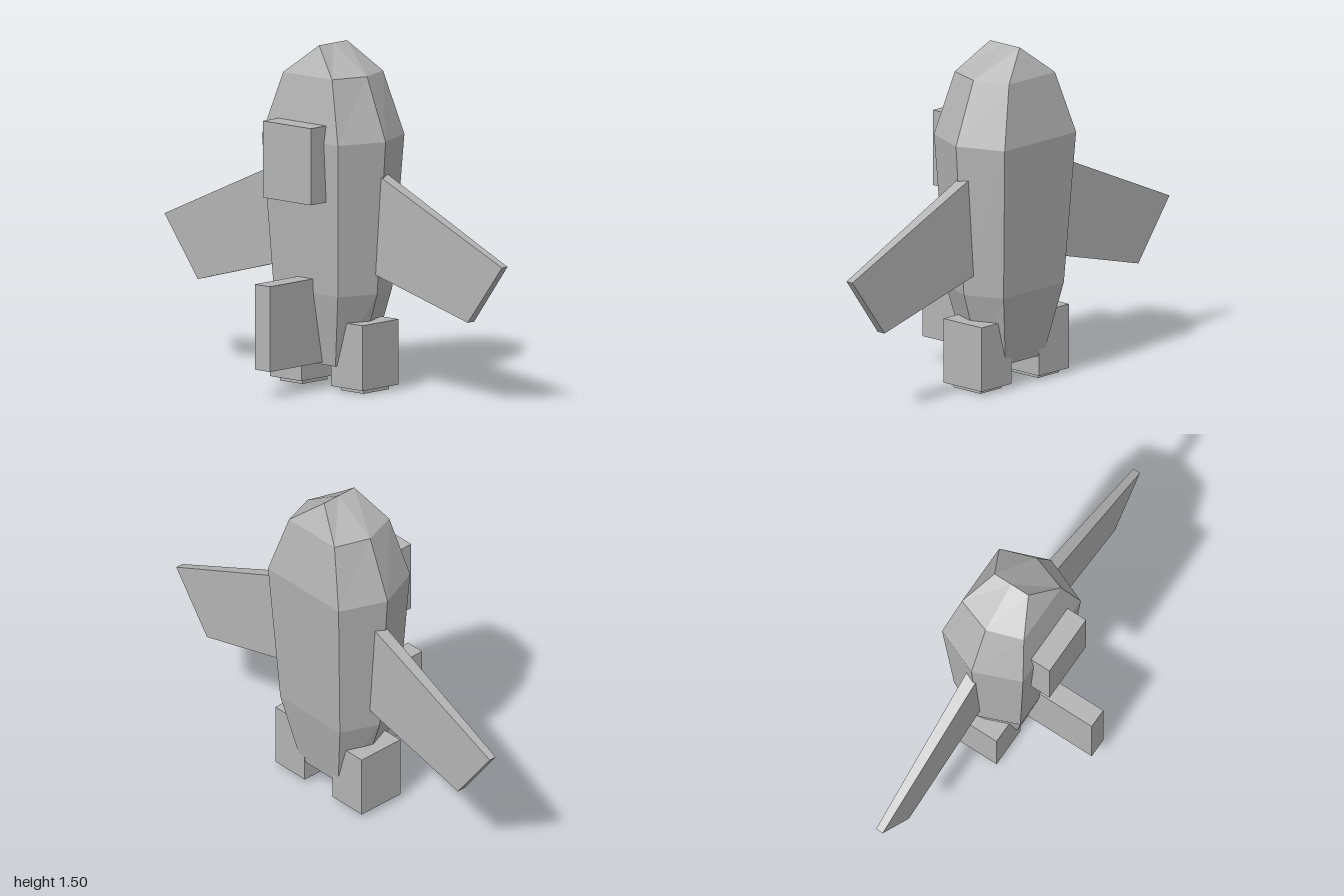
import * as THREE from 'three';

export function createModel() {
  const group = new THREE.Group();
  const hullGrey = new THREE.MeshStandardMaterial({ color: 0xb4b4b4 });
  hullGrey.name = 'hullGrey';

  const add = (name, geometry) => {
    const mesh = new THREE.Mesh(geometry, hullGrey);
    mesh.name = name;
    group.add(mesh);
    return mesh;
  };

  // Box given by its limits on each axis
  const box = (name, [x0, x1], [y0, y1], [z0, z1]) => {
    const g = new THREE.BoxGeometry(x1 - x0, y1 - y0, z1 - z0);
    g.translate((x0 + x1) / 2, (y0 + y1) / 2, (z0 + z1) / 2);
    return add(name, g);
  };

  // Hull: hexagonal sections, closing to a ridge at the nose
  // [height, half width at the middle, half width of front/back, front z, back z]
  const sections = [
    [0.11, 0.155, 0.12, -0.005, -0.235],
    [0.43, 0.26, 0.19, 0.055, -0.29],
    [1.105, 0.31, 0.225, 0.092, -0.33],
    [1.38, 0.2, 0.145, 0.043, -0.28],
    [1.505, 0, 0, -0.03, -0.207],
  ];
  const midZ = -0.12;
  const rings = sections.map(([y, w, c, front, back]) =>
    [[w, midZ], [c, back], [-c, back], [-w, midZ], [-c, front], [c, front]]
      .map(([x, z]) => new THREE.Vector3(x, y, z)));
  const positions = [];
  const triangle = (...corners) => {
    if (new THREE.Triangle(...corners).getArea() < 1e-6) return;
    corners.forEach((p) => positions.push(p.x, p.y, p.z));
  };
  for (let r = 0; r < rings.length - 1; r++) {
    for (let i = 0; i < 6; i++) {
      const j = (i + 1) % 6;
      triangle(rings[r][i], rings[r][j], rings[r + 1][j]);
      triangle(rings[r][i], rings[r + 1][j], rings[r + 1][i]);
    }
  }
  // Tail cap
  for (let i = 1; i < 5; i++) triangle(rings[0][0], rings[0][i + 1], rings[0][i]);
  const hull = new THREE.BufferGeometry();
  hull.setAttribute('position', new THREE.Float32BufferAttribute(positions, 3));
  hull.computeVertexNormals();
  add('hull', hull);

  // Canopy and belly fin on the front
  box('canopy', [-0.142, 0.142], [0.845, 1.182], [0, 0.175]);
  box('fin', [-0.045, 0.045], [0.12, 0.495], [-0.03, 0.33]);

  // Swept wings, thinner at the tip
  const wing = (side) => {
    const g = new THREE.BoxGeometry(1, 1, 1);
    const p = g.attributes.position;
    for (let i = 0; i < p.count; i++) {
      const tip = p.getX(i) * side > 0;
      const top = p.getY(i) > 0;
      const x = tip ? (top ? 1 : 0.8) : 0.2;
      const y = tip ? (top ? 0.635 : 0.37) : (top ? 0.99 : 0.533);
      const half = 0.03 - 0.0125 * (x - 0.2) / 0.8;
      p.setXYZ(i, x * side, y, -0.137 + half * Math.sign(p.getZ(i)));
    }
    const flat = g.toNonIndexed();
    flat.computeVertexNormals();
    return flat;
  };

  for (const side of [1, -1]) {
    const label = side > 0 ? 'left' : 'right';
    const span = (a, b) => (side > 0 ? [a, b] : [-b, -a]);
    add(label + 'Wing', wing(side));
    // Engine block with a shallow nozzle
    box(label + 'Engine', span(0.088, 0.275), [0.02, 0.307], [-0.24, -0.012]);
    box(label + 'Nozzle', span(0.115, 0.248), [0, 0.03], [-0.207, -0.047]);
  }
  return group;
}
